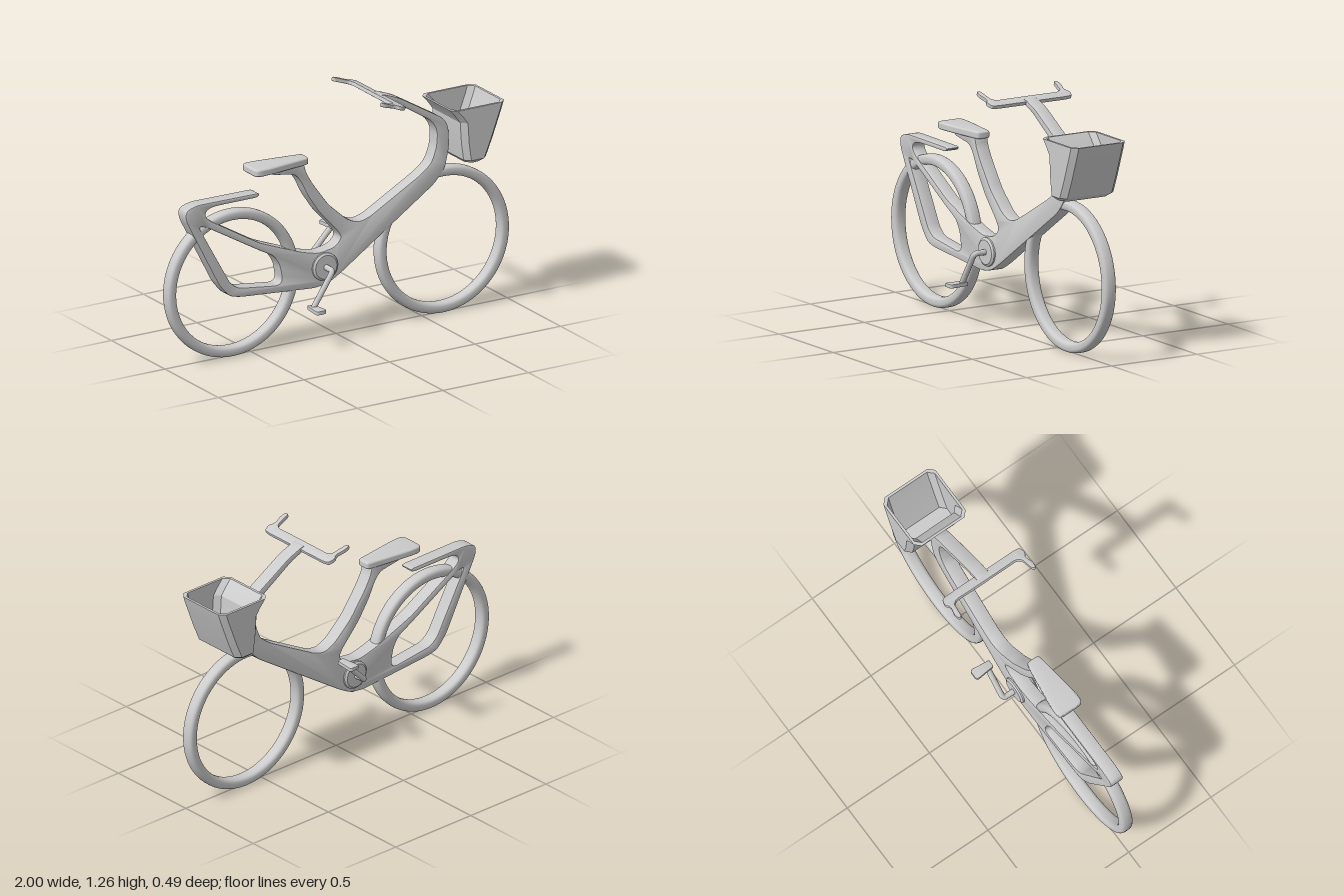
import * as THREE from 'three';
import { toCreasedNormals } from 'three/addons/utils/BufferGeometryUtils.js';

const material = new THREE.MeshStandardMaterial({ color: 0xcccccc });
const V3 = (x, y, z) => new THREE.Vector3(x, y, z);

// Closed outline through [x, y] points with every corner rounded up to radius r
function rounded(points, r, Type = THREE.Shape) {
  const pts = points.map(([x, y]) => new THREE.Vector2(x, y));
  const shape = new Type();
  pts.forEach((p, i) => {
    const toward = (q) => p.clone().lerp(q, Math.min(0.5, r / p.distanceTo(q)));
    const a = toward(pts[(i + pts.length - 1) % pts.length]);
    const b = toward(pts[(i + 1) % pts.length]);
    if (i === 0) shape.moveTo(a.x, a.y);
    else shape.lineTo(a.x, a.y);
    shape.quadraticCurveTo(p.x, p.y, b.x, b.y);
  });
  shape.closePath();
  return shape;
}

// Bevelled slab that stays inside its outline, centred on z = 0
function slab(shape, thickness, bevel, segments = 2) {
  const geo = new THREE.ExtrudeGeometry(shape, {
    depth: thickness - 2 * bevel, bevelThickness: bevel, bevelSize: bevel,
    bevelOffset: -bevel, bevelSegments: segments, curveSegments: 4,
  });
  geo.translate(0, 0, bevel - thickness / 2);
  return toCreasedNormals(geo, 0.6);
}

function add(parent, name, geometry) {
  const mesh = new THREE.Mesh(geometry, material);
  mesh.name = name;
  parent.add(mesh);
  return mesh;
}

// Tyre ring: squarish oval section turned about the axle
function wheelGeometry() {
  const soft = (v) => Math.sign(v) * Math.abs(v) ** 0.7;
  const profile = [];
  for (let i = 0; i <= 24; i++) {
    const t = (i / 24) * Math.PI * 2;
    profile.push(new THREE.Vector2(0.3575 + 0.0275 * soft(Math.cos(t)), 0.034 * soft(Math.sin(t))));
  }
  return new THREE.LatheGeometry(profile, 80).rotateX(Math.PI / 2);
}

// Frame outline: rack, rear stay, down tube, head, stem, seat post, upper stay
function frameGeometry() {
  const outline = [
    [-0.465, 0.842], [-0.835, 0.845], [-0.9, 0.825], [-0.9, 0.775], [-0.705, 0.4],
    [-0.645, 0.33], [-0.58, 0.315], [-0.14, 0.28], [-0.06, 0.295], [0.01, 0.335],
    [0.555, 0.7], [0.615, 0.77], [0.64, 0.88], [0.635, 0.99], [0.605, 1.035],
    [0.345, 1.19], [0.24, 1.23], [0.225, 1.205], [0.32, 1.17], [0.54, 1.03],
    [0.57, 0.975], [0.565, 0.89], [0.535, 0.81], [0.47, 0.76], [0.17, 0.595],
    [0.105, 0.58], [0.04, 0.61], [-0.065, 0.705], [-0.16, 0.835], [-0.2, 0.905],
    [-0.205, 0.945], [-0.4, 0.945], [-0.4, 0.922], [-0.26, 0.9], [-0.225, 0.855],
    [-0.19, 0.78], [-0.12, 0.675], [-0.01, 0.555], [0.012, 0.515], [-0.03, 0.475],
    [-0.125, 0.46], [-0.225, 0.485], [-0.47, 0.58], [-0.76, 0.75], [-0.788, 0.78],
    [-0.775, 0.81], [-0.73, 0.82], [-0.475, 0.82],
  ];
  const opening = [
    [-0.825, 0.73], [-0.785, 0.722], [-0.47, 0.54], [-0.385, 0.495], [-0.35, 0.44],
    [-0.335, 0.355], [-0.36, 0.335], [-0.595, 0.365], [-0.64, 0.4],
  ];
  const shape = rounded(outline, 0.03);
  shape.holes.push(rounded(opening, 0.025, THREE.Path));
  return slab(shape, 0.074, 0.005);
}

// Flat handlebar drawn in plan, tilted so that the grips rise to the rear
function handlebarGeometry() {
  const half = [
    [0.267, 0.2], [0.262, 0.235], [0.225, 0.245], [0.2, 0.227], [0.15, 0.24],
    [0.115, 0.235], [0.12, 0.215], [0.2, 0.203], [0.215, 0.18], [0.214, 0.06],
  ];
  const mirrored = half.map(([x, z]) => [x, -z]).reverse();
  const geo = slab(rounded([...half, ...mirrored], 0.012), 0.02, 0.004);
  return geo.rotateX(-Math.PI / 2).translate(-0.25, 0, 0).scale(1.04, 1, 1)
    .rotateZ(-0.32).translate(0.25, 1.21, 0);
}

// Saddle: wide at the rear, narrow at the nose
function seatGeometry() {
  const outline = [
    [-0.51, -0.06], [-0.49, -0.074], [-0.42, -0.07], [-0.19, -0.038], [-0.178, -0.03],
    [-0.178, 0.03], [-0.19, 0.038], [-0.42, 0.07], [-0.49, 0.074], [-0.51, 0.06],
  ];
  return slab(rounded(outline, 0.03), 0.038, 0.01, 3)
    .rotateX(-Math.PI / 2).translate(0, 0.956, 0);
}

// Open basket: chamfered rectangles lofted up the outside and down the inside
function basketGeometry() {
  // [y, rear x, front x, half width]
  const outer = [
    [0.81, 0.685, 0.77, 0.135], [0.83, 0.665, 0.795, 0.158], [0.92, 0.652, 0.833, 0.158],
    [1.03, 0.645, 0.874, 0.158], [1.065, 0.62, 0.887, 0.158], [1.105, 0.585, 0.9, 0.158],
  ];
  const wall = 0.013;
  const inner = outer.slice(1).reverse()
    .map(([y, a, b, h]) => [y, a + wall, b - wall, h - wall]);
  const ring = ([y, a, b, h]) => {
    const c = 0.028;
    return [[a + c, h], [b - c, h], [b, h - c], [b, c - h], [b - c, -h], [a + c, -h], [a, c - h], [a, h - c]]
      .map(([x, z]) => V3(x, y, z));
  };
  const centre = (y) => Array.from({ length: 8 }, () => V3(0.73, y, 0));
  const rings = [centre(0.81), ...outer.map(ring), ...inner.map(ring), centre(0.83)];
  const triangles = [];
  for (let i = 0; i < rings.length - 1; i++) {
    for (let j = 0; j < 8; j++) {
      const k = (j + 1) % 8;
      const [a, b, c, d] = [rings[i][j], rings[i][k], rings[i + 1][k], rings[i + 1][j]];
      if (i > 0) triangles.push(a, b, c);
      if (i < rings.length - 2) triangles.push(a, c, d);
      else triangles.push(a, b, c);
      if (i === 0) triangles.push(a, c, d);
    }
  }
  return toCreasedNormals(new THREE.BufferGeometry().setFromPoints(triangles), 0.35);
}

// Crank arm and pedal on one side (side is +1 or -1 along z)
function crank(side, px, py) {
  const group = new THREE.Group();
  group.name = side > 0 ? 'leftCrank' : 'rightCrank';
  const [x, y] = [-0.09, 0.385];
  const corner = V3(x, y, side * 0.115);
  const end = V3(px, py, side * 0.115);
  const path = new THREE.CurvePath();
  const before = V3(x, y, side * 0.095);
  const after = corner.clone().lerp(end, 0.12);
  path.add(new THREE.LineCurve3(V3(x, y, 0), before));
  path.add(new THREE.QuadraticBezierCurve3(before, corner, after));
  path.add(new THREE.LineCurve3(after, end));
  add(group, 'crankArm', new THREE.TubeGeometry(path, 40, 0.015, 10));

  const plan = [[-0.02, -0.055], [0.02, -0.055], [0.03, 0.045], [0.022, 0.055], [-0.022, 0.055], [-0.03, 0.045]];
  const pedal = add(group, 'pedal', slab(rounded(plan, 0.008), 0.02, 0.003).rotateX(Math.PI / 2));
  pedal.position.set(px, py, side * 0.143);
  if (side < 0) pedal.rotation.y = Math.PI;
  return group;
}

export function createModel() {
  const model = new THREE.Group();
  model.name = 'bicycle';

  for (const [name, x] of [['rearWheel', -0.615], ['frontWheel', 0.615]]) {
    add(model, name, wheelGeometry()).position.set(x, 0.39, 0);
  }
  add(model, 'frame', frameGeometry());
  add(model, 'handlebar', handlebarGeometry());
  add(model, 'seat', seatGeometry());
  add(model, 'basket', basketGeometry());

  // Chamfered crank hub passing through the frame
  const hubProfile = [[0, -0.053], [0.062, -0.053], [0.073, -0.045], [0.073, 0.045], [0.062, 0.053], [0, 0.053]]
    .map(([r, h]) => new THREE.Vector2(r, h));
  const hub = toCreasedNormals(new THREE.LatheGeometry(hubProfile, 32), 0.5);
  add(model, 'crankHub', hub.rotateX(Math.PI / 2)).position.set(-0.09, 0.385, 0);

  model.add(crank(1, -0.205, 0.21), crank(-1, 0.05, 0.53));
  return model;
}
